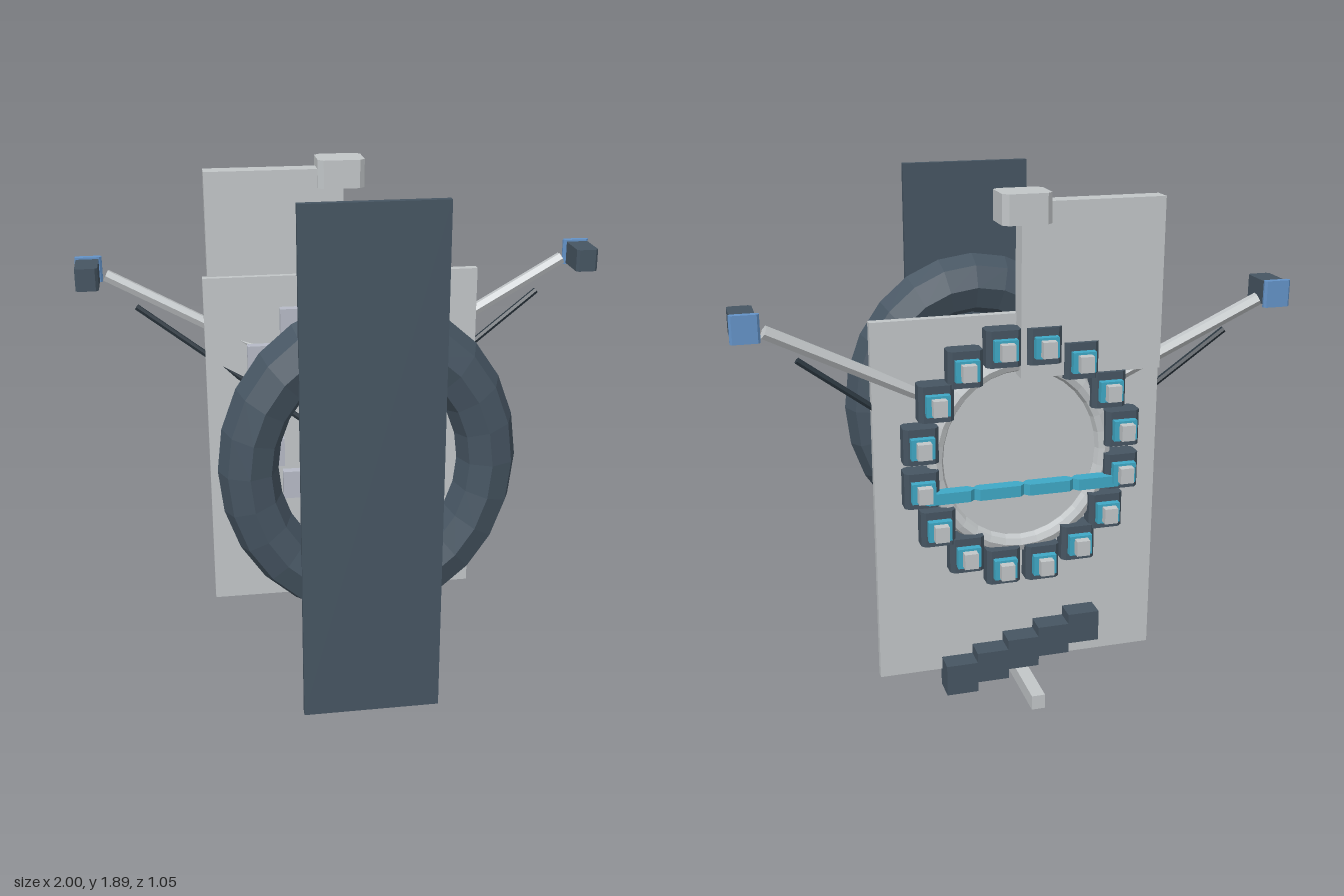
import * as THREE from 'three';

const mat = (name, color, flat = true) => {
  const m = new THREE.MeshStandardMaterial({ color, flatShading: flat });
  m.name = name;
  return m;
};

export function createModel() {
  const slate = mat('slate', 0x465562);
  const grey = mat('light grey', 0xc2c6c8);
  const padGrey = mat('pad grey', 0xb6bac6);
  const charcoal = mat('charcoal', 0x2c3740);
  const blue = mat('blue', 0x6493c8);
  const cyan = mat('cyan', 0x3fa9c6);

  const model = new THREE.Group();
  const add = (name, geometry, material) => {
    const mesh = new THREE.Mesh(geometry, material);
    mesh.name = name;
    model.add(mesh);
    return mesh;
  };
  // Box given by its limits on each axis
  const box = (name, material, [x0, x1], [y0, y1], [z0, z1]) => {
    const mesh = add(name, new THREE.BoxGeometry(x1 - x0, y1 - y0, z1 - z0), material);
    mesh.position.set((x0 + x1) / 2, (y0 + y1) / 2, (z0 + z1) / 2);
    return mesh;
  };
  // Box given by centre and size
  const block = (name, material, x, y, z, w, h, d) =>
    box(name, material, [x - w / 2, x + w / 2], [y - h / 2, y + h / 2], [z - d / 2, z + d / 2]);
  // Upright prism from a plan outline of [x, z] points
  const prism = (name, material, plan, y0, y1) => {
    const shape = new THREE.Shape(plan.map(([x, z]) => new THREE.Vector2(x, -z)));
    const geo = new THREE.ExtrudeGeometry(shape, { depth: y1 - y0, bevelEnabled: false });
    geo.rotateX(-Math.PI / 2).translate(0, y0, 0);
    return add(name, geo, material);
  };
  // Plan outline of a rectangle with cut corners
  const cutPlan = (x0, x1, z0, z1, c) => [
    [x0 + c, z0], [x1 - c, z0], [x1, z0 + c], [x1, z1 - c],
    [x1 - c, z1], [x0 + c, z1], [x0, z1 - c], [x0, z0 + c]];
  // Straight beam between two points
  const beam = (name, material, a, b, radius, sides) => {
    const p = new THREE.Vector3(...a), q = new THREE.Vector3(...b);
    const mesh = add(name, new THREE.CylinderGeometry(radius, radius, p.distanceTo(q), sides), material);
    mesh.position.copy(p).lerp(q, 0.5);
    mesh.quaternion.setFromUnitVectors(new THREE.Vector3(0, 1, 0), q.clone().sub(p).normalize());
    return mesh;
  };

  // Front panel and oval wheel
  box('frontPanel', slate, [-0.25, 0.25], [0, 1.89], [0.5, 0.525]);
  const wheel = add('ovalWheel', new THREE.TorusGeometry(0.42, 0.105, 8, 24).scale(1, 1.133, 1), slate);
  wheel.position.set(0, 0.95, 0.415);

  // Hub housing with its band
  prism('hubHousing', slate,
    [[-0.158, 0.42], [0.158, 0.42], [0.158, 0], [0.12, -0.035], [-0.12, -0.035], [-0.158, 0]], 0.45, 0.82);
  prism('hubBand', blue, cutPlan(-0.172, 0.172, 0.082, 0.12, 0.012), 0.44, 0.828);

  // Back board, upper plate and top block
  box('backBoard', grey, [-0.53, 0.53], [0.1, 1.46], [-0.25, -0.217]);
  box('upperPlate', grey, [-0.51, 0.01], [1.24, 1.855], [-0.313, -0.24]);
  prism('topBlock', grey, cutPlan(-0.088, 0.088, -0.36, -0.21, 0.02), 1.785, 1.89);

  // Long foot bar
  box('footBar', grey, [-0.025, 0.025], [0.04, 0.095], [-0.525, 0.51]);

  // Stepped row of blocks near the foot
  for (let i = 0; i < 5; i++) {
    block('stepBlock', slate, 0.235 - i * 0.118, 0.09 + i * 0.0375, -0.283, 0.12, 0.12, 0.095);
  }

  // Oval rail and the blocks around it
  const cy = 0.943;
  const rail = add('ovalRail', new THREE.TorusGeometry(0.315, 0.03, 8, 32).scale(1, 1.1, 1), grey);
  rail.position.set(0, cy, -0.27);
  for (let i = 0; i < 16; i++) {
    const t = (i + 0.5) * Math.PI / 8;
    const x = 0.38 * Math.cos(t), y = cy + 0.42 * Math.sin(t);
    prism('ringBlock', slate, cutPlan(x - 0.063, x + 0.063, -0.33, -0.25, 0.015), y - 0.066, y + 0.066);
    block('ringCap', cyan, x, y, -0.343, 0.085, 0.075, 0.027);
    block('ringKnob', grey, x, y, -0.365, 0.05, 0.058, 0.045);
  }

  // Cross strip of four links
  for (let i = 0; i < 4; i++) {
    const x = -0.277 + i * 0.185;
    prism('stripLink', cyan, cutPlan(x - 0.095, x + 0.095, -0.345, -0.295, 0.02), 0.808, 0.85);
  }

  // Oval of pads on the front of the board
  for (let i = 0; i < 12; i++) {
    const t = i * Math.PI / 6;
    block('pad', padGrey, 0.35 * Math.cos(t), cy + 0.39 * Math.sin(t), -0.2, 0.135, 0.115, 0.036);
  }

  // Arms, struts and end pods on both sides
  for (const s of [1, -1]) {
    beam('arm', grey, [s * 0.08, 1.045, -0.203], [s * 0.888, 1.467, -0.3], 0.024, 6);
    beam('strut', charcoal, [s * 0.1, 0.83, -0.195], [s * 0.78, 1.35, -0.258], 0.012, 6);
    prism('endPod', slate, cutPlan(s * 0.953 - 0.042, s * 0.953 + 0.042, -0.315, -0.165, 0.01), 1.443, 1.528);
    prism('endPodCap', blue, cutPlan(s * 0.95 - 0.05, s * 0.95 + 0.05, -0.333, -0.308, 0.008), 1.438, 1.535);
  }

  return model;
}
